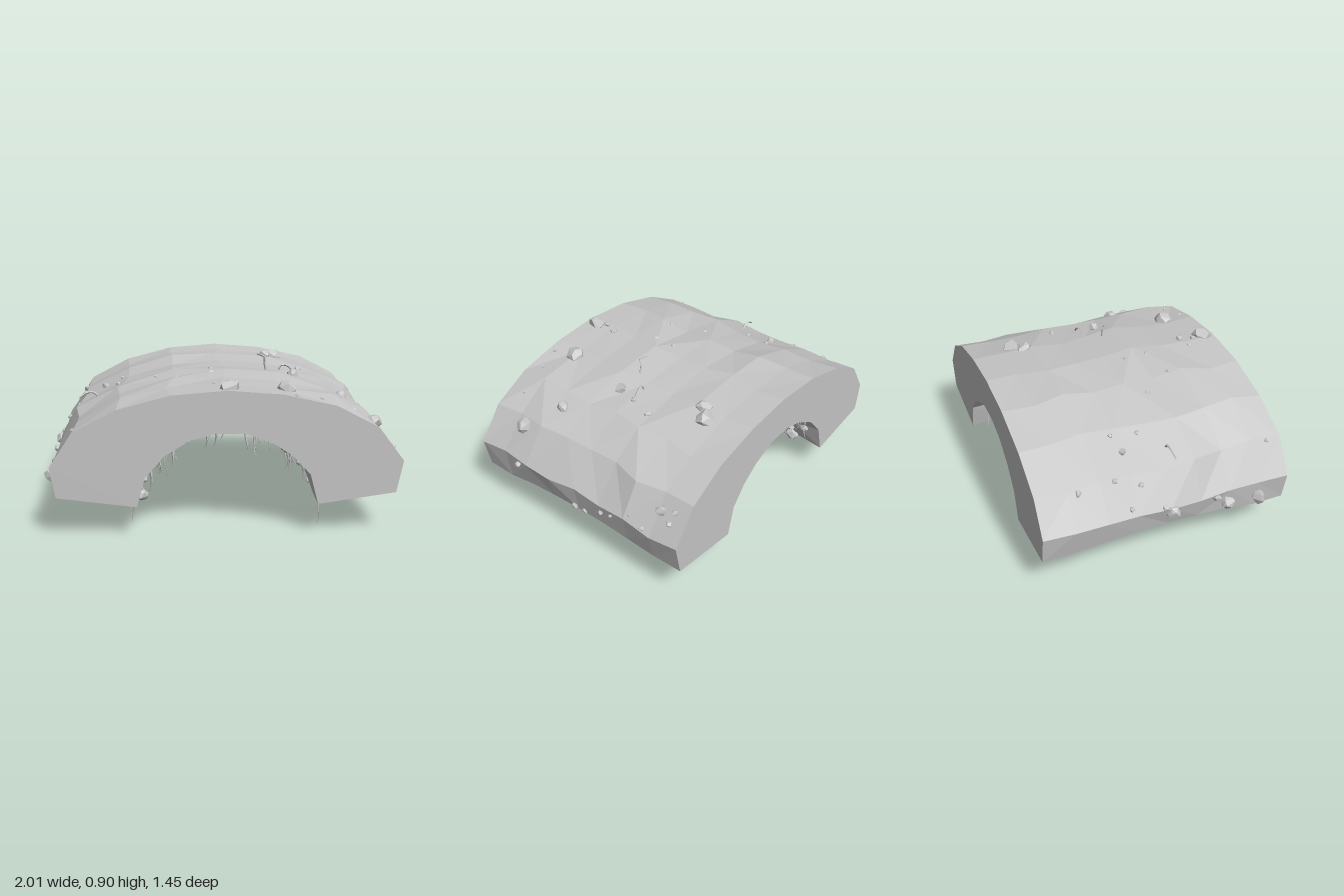
import * as THREE from 'three';
import { ConvexGeometry } from 'three/addons/geometries/ConvexGeometry.js';

const stone = new THREE.MeshStandardMaterial({ color: 0xc6c6c6, flatShading: true });
stone.name = 'grey stone';

let seed = 7;
const rand = (a = 0, b = 1) => {
  seed = (seed * 16807) % 2147483647;
  return a + (b - a) * (seed / 2147483647);
};

// Arch outline: outer curve left to right, then inner curve right to left
const OUTER = [[-0.925, 0.25], [-0.955, 0.42], [-0.83, 0.61], [-0.59, 0.735], [-0.3, 0.81], [0, 0.833],
  [0.3, 0.808], [0.59, 0.742], [0.82, 0.622], [0.965, 0.43], [0.93, 0.25]];
const INNER = [[0.5, 0.19], [0.455, 0.36], [0.36, 0.465], [0.25, 0.54], [0.1, 0.595], [-0.06, 0.598],
  [-0.2, 0.562], [-0.34, 0.475], [-0.445, 0.355], [-0.49, 0.19]];
const OUTLINE = [...OUTER, ...INNER];
const N = OUTLINE.length, STATIONS = 9, HALF = 0.725;

// Lift of the two bottom edges at each station, back to front
const LIFT_OUT = [0, 0, 0.015, 0.03, 0.035, 0.03, 0.02, -0.005, 0];
const LIFT_IN = [0, 0.025, 0.055, 0.08, 0.095, 0.075, 0.04, 0, 0];
// Rise and dip of the crown along the arch
const CROWN = [0, -0.008, 0.008, -0.006, 0, 0, 0.008, 0.012, 0];

// Rough rock rings: the end rings stay clean
const rings = [];
for (let s = 0; s < STATIONS; s++) {
  const end = s === 0 || s === STATIONS - 1;
  const z = -HALF + (2 * HALF * s) / (STATIONS - 1);
  rings.push(OUTLINE.map(([x, y], i) => {
    let dx = 0, dy = 0;
    if (i === 0 || i === 10) dy = LIFT_OUT[s];
    else if (i === 11 || i === N - 1) dy = LIFT_IN[s];
    else if (!end) {
      const inner = i > 11;
      const side = i === 1 || i === 9;
      dx = side ? rand(-0.012, 0.008) : rand(-0.03, 0.03);
      dy = inner ? rand(-0.012, 0.018) : CROWN[s] + rand(-0.016, 0.012);
    }
    return new THREE.Vector3(x + dx, y + dy, z);
  }));
}

function archSurface() {
  const pos = [];
  const tri = (...v) => v.forEach((p) => pos.push(p.x, p.y, p.z));
  for (let s = 0; s < STATIONS - 1; s++) {
    for (let i = 0; i < N; i++) {
      const j = (i + 1) % N;
      const a = rings[s][i], b = rings[s + 1][i], c = rings[s + 1][j], d = rings[s][j];
      if (rand() < 0.5) { tri(a, b, d); tri(b, c, d); } else { tri(a, b, c); tri(a, c, d); }
    }
  }
  const g = new THREE.BufferGeometry();
  g.setAttribute('position', new THREE.Float32BufferAttribute(pos, 3));
  g.computeVertexNormals();
  return g;
}

// Point on the rock at outline position u and depth z
function surfacePoint(u, z) {
  const t = THREE.MathUtils.clamp((z + HALF) / (2 * HALF), 0, 0.9999) * (STATIONS - 1);
  const s = Math.floor(t), i = Math.floor(u), f = u - i;
  const at = (r) => r[i].clone().lerp(r[(i + 1) % N], f);
  return at(rings[s]).lerp(at(rings[s + 1]), t - s);
}

// Point on the upper side under a given x
function topPoint(x, z) {
  let best = null;
  for (let u = 1; u < 9; u += 0.02) {
    const p = surfacePoint(u, z);
    if (!best || Math.abs(p.x - x) < Math.abs(best.x - x)) best = p;
  }
  return best;
}

// A few faceted boulder shapes, reused at many sizes
const rockShapes = Array.from({ length: 5 }, () => {
  const pts = Array.from({ length: 16 }, (_, k) => {
    const h = 1 - (2 * (k + 0.5)) / 16, a = k * 2.4 + rand(-0.4, 0.4), w = Math.sqrt(1 - h * h);
    return new THREE.Vector3(w * Math.cos(a), h, w * Math.sin(a)).multiplyScalar(rand(0.88, 1.1));
  });
  return new ConvexGeometry(pts);
});

function addRock(group, p, r) {
  const m = new THREE.Mesh(rockShapes[Math.floor(rand(0, 4.99))], stone);
  m.name = 'rock';
  m.position.copy(p);
  m.scale.set(r * rand(0.9, 1.15), r * rand(0.7, 0.9), r * rand(0.75, 1));
  m.rotation.set(rand(-0.4, 0.4), rand(0, 6.28), rand(-0.4, 0.4));
  group.add(m);
}

// Tapering crooked strand growing along -y from its origin
function strand(length, radius, wobble) {
  const g = new THREE.CylinderGeometry(radius, radius * 0.12, length, 4, 6);
  g.translate(0, -length / 2, 0);
  const p = g.attributes.position, ph = rand(0, 6.28);
  for (let i = 0; i < p.count; i++) {
    const t = -p.getY(i) / length;
    p.setX(i, p.getX(i) + wobble * t * Math.sin(ph + t * 5));
    p.setZ(i, p.getZ(i) + wobble * t * Math.cos(ph + t * 4));
  }
  g.computeVertexNormals();
  const m = new THREE.Mesh(g, stone);
  m.name = 'root';
  return m;
}

// Rocks on the upper side: x, z, radius
const TOP_ROCKS = [[-0.85, -0.49, 0.022], [-0.84, -0.28, 0.02], [-0.7, -0.18, 0.026], [-0.6, -0.21, 0.017],
  [-0.62, -0.06, 0.017], [-0.87, -0.14, 0.02], [-0.83, 0.64, 0.013], [-0.38, 0.11, 0.02], [-0.27, 0.29, 0.015],
  [-0.06, 0.11, 0.018], [-0.07, 0.24, 0.022], [0.02, 0.65, 0.06], [0.03, 0.51, 0.03], [0, 0.59, 0.02],
  [-0.06, 0.53, 0.012], [0.31, -0.4, 0.05], [0.37, -0.46, 0.066], [0.5, -0.16, 0.027], [0.43, 0.1, 0.038],
  [0.46, -0.02, 0.02], [0.68, 0.32, 0.045], [0.34, 0.54, 0.057], [0.7, 0.61, 0.018], [0.52, 0.64, 0.012],
  [0.38, 0.68, 0.012], [0.84, 0.48, 0.056], [0.87, -0.56, 0.04], [0.86, -0.64, 0.02], [0.9, -0.63, 0.02]];

// Rocks on the flanks and bottom edges: x, y, z, radius
const SIDE_ROCKS = [[0.98, 0.42, 0.42, 0.022], [0.95, 0.375, -0.19, 0.018], [0.96, 0.4, -0.27, 0.012],
  [0.95, 0.47, -0.4, 0.01], [0.96, 0.44, -0.49, 0.02], [0.93, 0.3, 0.02, 0.025], [0.93, 0.3, -0.05, 0.022],
  [-0.96, 0.39, 0.01, 0.045], [-0.955, 0.34, 0.35, 0.04], [-0.96, 0.4, 0.28, 0.027], [-0.955, 0.32, 0.55, 0.05],
  [-0.94, 0.46, -0.22, 0.016], [-0.95, 0.42, -0.03, 0.028], [-0.47, 0.2, 0.54, 0.048], [-0.49, 0.22, -0.52, 0.055],
  [0.53, 0.205, -0.57, 0.04], [0.5, 0.22, 0.4, 0.025], [-0.48, 0.25, 0.3, 0.035]];

// Long roots from the lower edges: x, y, z, length, radius
const LONG_ROOTS = [[0.51, 0.2, 0.66, 0.16, 0.004], [-0.52, 0.2, 0.5, 0.19, 0.011], [0.52, 0.24, 0.37, 0.22, 0.004],
  [-0.53, 0.22, 0.6, 0.12, 0.004], [-0.49, 0.26, 0.15, 0.1, 0.008], [-0.48, 0.26, 0.27, 0.08, 0.009]];

export function createModel() {
  const model = new THREE.Group();
  const group = (name) => {
    const g = new THREE.Group();
    g.name = name;
    model.add(g);
    return g;
  };

  // Faceted arch and its two flat ends
  const arch = group('rockArch');
  const skin = new THREE.Mesh(archSurface(), stone);
  skin.name = 'archSurface';
  arch.add(skin);
  for (const dir of [1, -1]) {
    const ring = rings[dir > 0 ? STATIONS - 1 : 0];
    const g = new THREE.ShapeGeometry(new THREE.Shape(ring.map((p) => new THREE.Vector2(p.x * dir, p.y))));
    if (dir < 0) g.rotateY(Math.PI);
    const cap = new THREE.Mesh(g, stone);
    cap.name = dir > 0 ? 'frontEnd' : 'backEnd';
    cap.position.z = dir * HALF;
    arch.add(cap);
  }

  const outerRocks = group('outerRocks');
  for (const [x, z, r] of TOP_ROCKS) addRock(outerRocks, topPoint(x, z), r);
  for (const [x, y, z, r] of SIDE_ROCKS) addRock(outerRocks, new THREE.Vector3(x, y, z), r);

  // Stones studding the inside of the arch
  const innerRocks = group('innerRocks');
  for (let k = 0; k < 110; k++) {
    addRock(innerRocks, surfacePoint(rand(11.2, 19.8), rand(-0.66, 0.66)), 0.013 + 0.032 * rand() ** 2);
  }

  // Roots hanging from the inside
  const roots = group('hangingRoots');
  for (let k = 0; k < 110; k++) {
    const m = strand(rand(0.07, 0.2), rand(0.004, 0.012), rand(0.005, 0.025));
    m.position.copy(surfacePoint(rand(12, 19), rand(-0.67, 0.67)));
    m.position.y += 0.01;
    roots.add(m);
  }
  for (const [x, y, z, l, r] of LONG_ROOTS) {
    const m = strand(l, r, 0.012);
    m.position.set(x, y, z);
    roots.add(m);
  }

  // Crooked twigs on top: base x, base z, offsets of the path
  const twigs = group('twigs');
  const TWIGS = [[0.27, 0.09, [[0, 0, 0], [-0.01, 0.05, 0], [-0.01, 0.08, 0.01], [-0.05, 0.095, -0.02]]],
    [-0.74, 0.06, [[0, 0, 0], [-0.02, 0.02, 0], [-0.06, 0.02, 0], [-0.11, -0.01, 0.01]]],
    [0.36, -0.01, [[0, 0, 0], [0.02, 0.03, 0], [0.06, 0.02, -0.01], [0.1, -0.02, -0.01]]]];
  for (const [x, z, path] of TWIGS) {
    const base = topPoint(x, z);
    const curve = new THREE.CatmullRomCurve3(path.map((o) => new THREE.Vector3(...o).add(base)));
    const m = new THREE.Mesh(new THREE.TubeGeometry(curve, 8, 0.006, 4), stone);
    m.name = 'twig';
    twigs.add(m);
  }
  return model;
}
